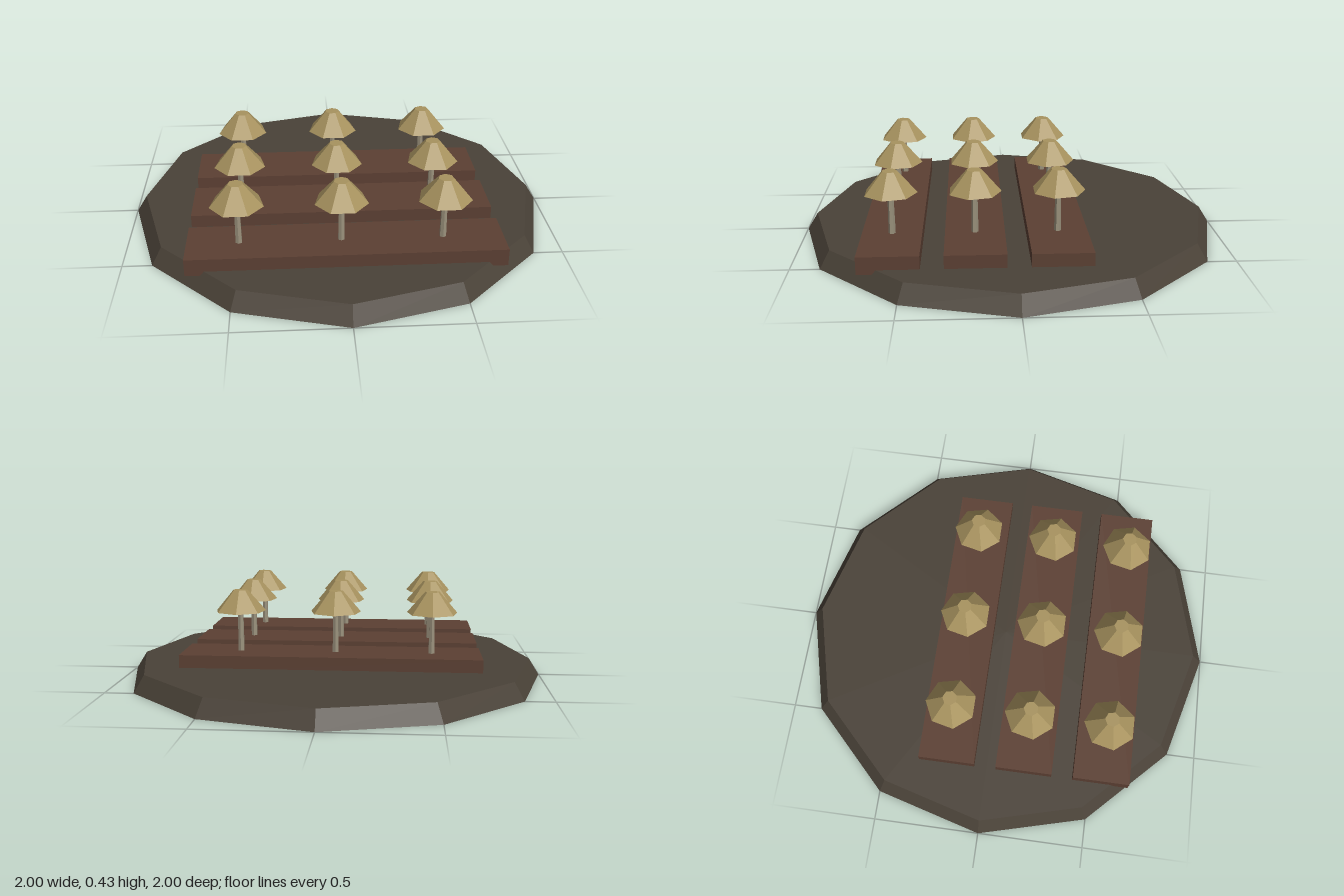
import * as THREE from 'three';

function material(name, color) {
  const m = new THREE.MeshStandardMaterial({ color, flatShading: true });
  m.name = name;
  return m;
}

export function createModel() {
  const soil = material('dark soil', 0x4a4238);
  const wood = material('brown wood', 0x5c4033);
  const capTan = material('tan cap', 0xa8935f);
  const stemGrey = material('pale stem', 0x9a917c);

  const model = new THREE.Group();
  model.name = 'mushroomPlot';

  function add(parent, name, geometry, mat, x, y, z) {
    const mesh = new THREE.Mesh(geometry, mat);
    mesh.name = name;
    mesh.position.set(x, y, z);
    parent.add(mesh);
    return mesh;
  }

  // Twelve-sided mound with a bevelled edge
  add(model, 'ground', new THREE.CylinderGeometry(0.95, 1, 0.08, 12), soil, 0, 0.04, 0);

  const bedGeometry = new THREE.BoxGeometry(1.4, 0.08, 0.268);
  const stemGeometry = new THREE.CylinderGeometry(0.013, 0.016, 0.2, 6);
  const capGeometry = new THREE.CylinderGeometry(0.034, 0.12, 0.1, 7, 1, false, Math.PI);

  // Three raised beds, each with a row of three mushrooms
  for (const z of [-0.193, 0.178, 0.547]) {
    const row = new THREE.Group();
    row.name = 'bedRow';
    row.position.z = z;
    model.add(row);
    add(row, 'bed', bedGeometry, wood, 0, 0.1, 0);
    for (const x of [-0.47, -0.02, 0.43]) {
      const mushroom = new THREE.Group();
      mushroom.name = 'mushroom';
      mushroom.position.set(x, 0.14, 0);
      row.add(mushroom);
      add(mushroom, 'stem', stemGeometry, stemGrey, 0, 0.1, 0);
      add(mushroom, 'cap', capGeometry, capTan, 0, 0.24, 0);
    }
  }
  return model;
}
